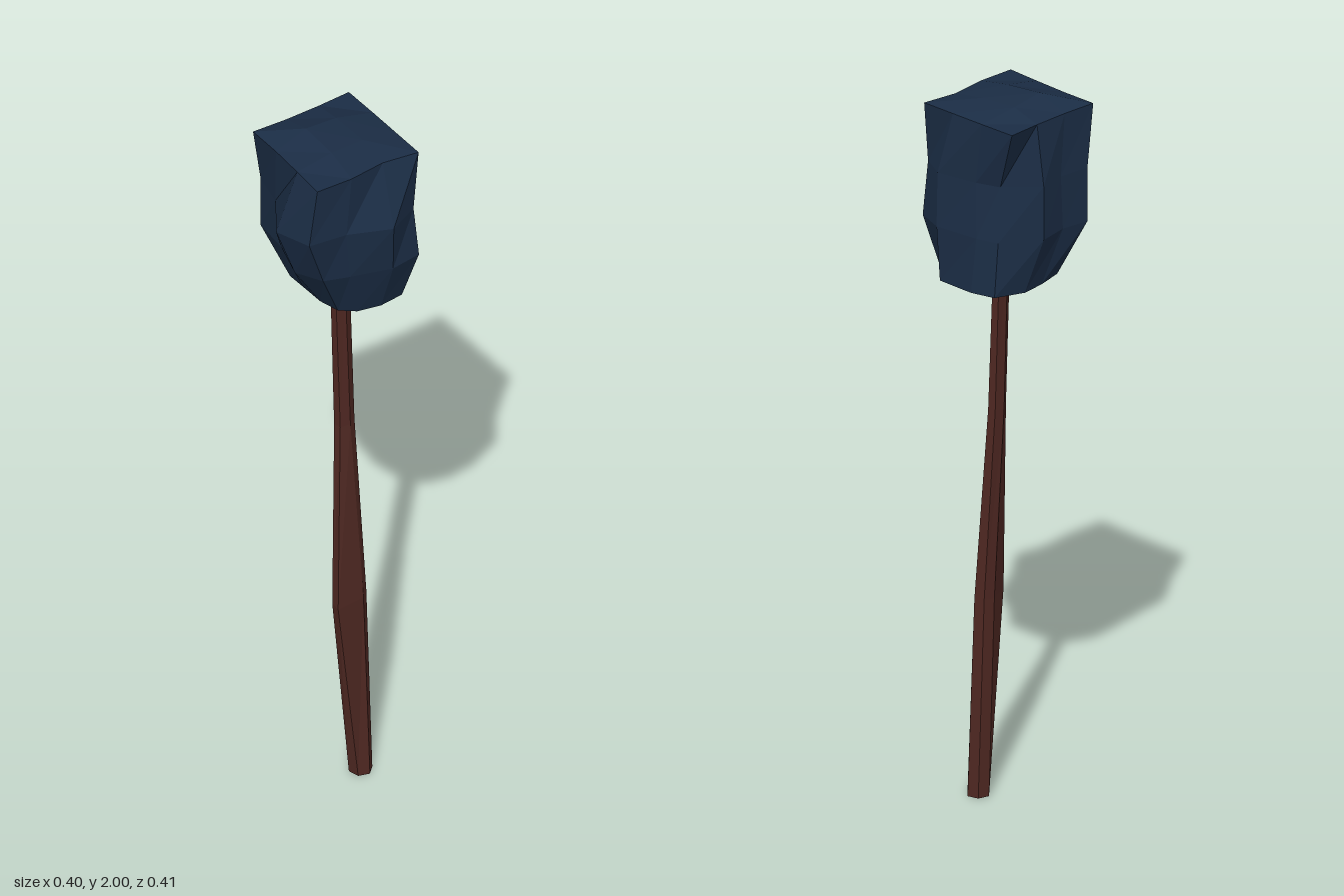
import * as THREE from 'three';

// Joins rings of [x, y, z] points (bottom to top, counter-clockwise from above).
// topInner: four points that fill a 12-point top ring as a 4 x 4 grid; otherwise a flat fan.
function loft(rings, topInner) {
  const n = rings[0].length, last = (rings.length - 1) * n;
  const points = [...rings.flat(), ...(topInner || [])];
  const index = [];
  const quad = (a, b, c, d) => index.push(a, b, c, a, c, d);
  for (let j = 0; j < rings.length - 1; j++) {
    for (let i = 0; i < n; i++) {
      const k = (i + 1) % n;
      quad(j * n + i, j * n + k, (j + 1) * n + k, (j + 1) * n + i);
    }
  }
  for (let i = 1; i < n - 1; i++) {
    index.push(0, i + 1, i);
    if (!topInner) index.push(last, last + i, last + i + 1);
  }
  if (topInner) {
    const grid = [[0, 1, 2, 3], [11, 12, 13, 4], [10, 15, 14, 5], [9, 8, 7, 6]];
    for (let r = 0; r < 3; r++) {
      for (let c = 0; c < 3; c++) {
        quad(...[grid[r][c], grid[r][c + 1], grid[r + 1][c + 1], grid[r + 1][c]].map((i) => last + i));
      }
    }
  }
  const indexed = new THREE.BufferGeometry();
  indexed.setAttribute('position', new THREE.Float32BufferAttribute(points.flat(), 3));
  indexed.setIndex(index);
  const geometry = indexed.toNonIndexed();
  geometry.computeVertexNormals();
  return geometry;
}

function part(name, geometry, color) {
  const mesh = new THREE.Mesh(geometry, new THREE.MeshStandardMaterial({ color, flatShading: true }));
  mesh.name = name;
  return mesh;
}

// Rough-hewn stone head: twelve [x, z] points per level, front-left corner first
function createHead() {
  const levels = [
    [1.5, [[-0.13, 0.02], [-0.08, 0.03], [0, 0.05], [0.06, 0.05], [0.1, 0.02], [0.13, -0.04],
      [0.14, -0.11], [0.11, -0.17], [0, -0.2], [-0.07, -0.2], [-0.12, -0.13], [-0.13, -0.06]]],
    [1.65, [[-0.2, 0.055], [-0.1, 0.09], [0, 0.15], [0.08, 0.13], [0.12, 0.07], [0.18, -0.03],
      [0.19, -0.12], [0.12, -0.17], [-0.01, -0.19], [-0.075, -0.19], [-0.165, -0.11], [-0.17, -0.02]]],
    [1.8, [[-0.2, 0.055], [-0.11, 0.1], [-0.02, 0.2], [0.085, 0.19], [0.125, 0.09], [0.2, -0.01],
      [0.18, -0.11], [0.12, -0.165], [0, -0.175], [-0.07, -0.17], [-0.165, -0.11], [-0.17, -0.03]]],
    [1.97, [[-0.2, 0.085], [-0.1, 0.11], [0, 0.14], [0.095, 0.17], [0.125, 0.07], [0.14, -0.035],
      [0.18, -0.13], [0.08, -0.155], [-0.02, -0.18], [-0.125, -0.205], [-0.145, -0.11], [-0.17, -0.01]]],
  ];
  const rings = levels.map(([y, ring]) => ring.map(([x, z]) => [x, y, z]));
  const crown = [[-0.08, 2, 0.015], [0.03, 1.99, 0.04], [0.05, 1.985, -0.06], [-0.06, 1.99, -0.08]];
  return part('stoneHead', loft(rings, crown), 0x1b2d45);
}

// Leaning six-sided handle whose front corners swell into a knot
function createHandle() {
  // y, centre x, half width, knot on the front-left corner, knot on the front-right corner
  const levels = [
    [0, 0.092, 0.032, 0, 0],
    [0.56, 0.073, 0.029, 0.045, 0.055],
    [1.1, 0.036, 0.021, 0, 0],
    [1.56, 0.021, 0.018, 0, 0],
  ];
  const rings = levels.map(([y, cx, w, knotA, knotB]) =>
    Array.from({ length: 6 }, (_, i) => {
      const a = Math.PI + (i * Math.PI) / 3;
      const knot = i === 1 ? knotA : i === 2 ? knotB : 0;
      return [cx + w * Math.cos(a), y, -0.003 - 0.032 * Math.sin(a) + knot];
    }));
  return part('woodenHandle', loft(rings), 0x4f2822);
}

export function createModel() {
  const group = new THREE.Group();
  group.name = 'stoneMaul';
  group.add(createHead(), createHandle());
  return group;
}
